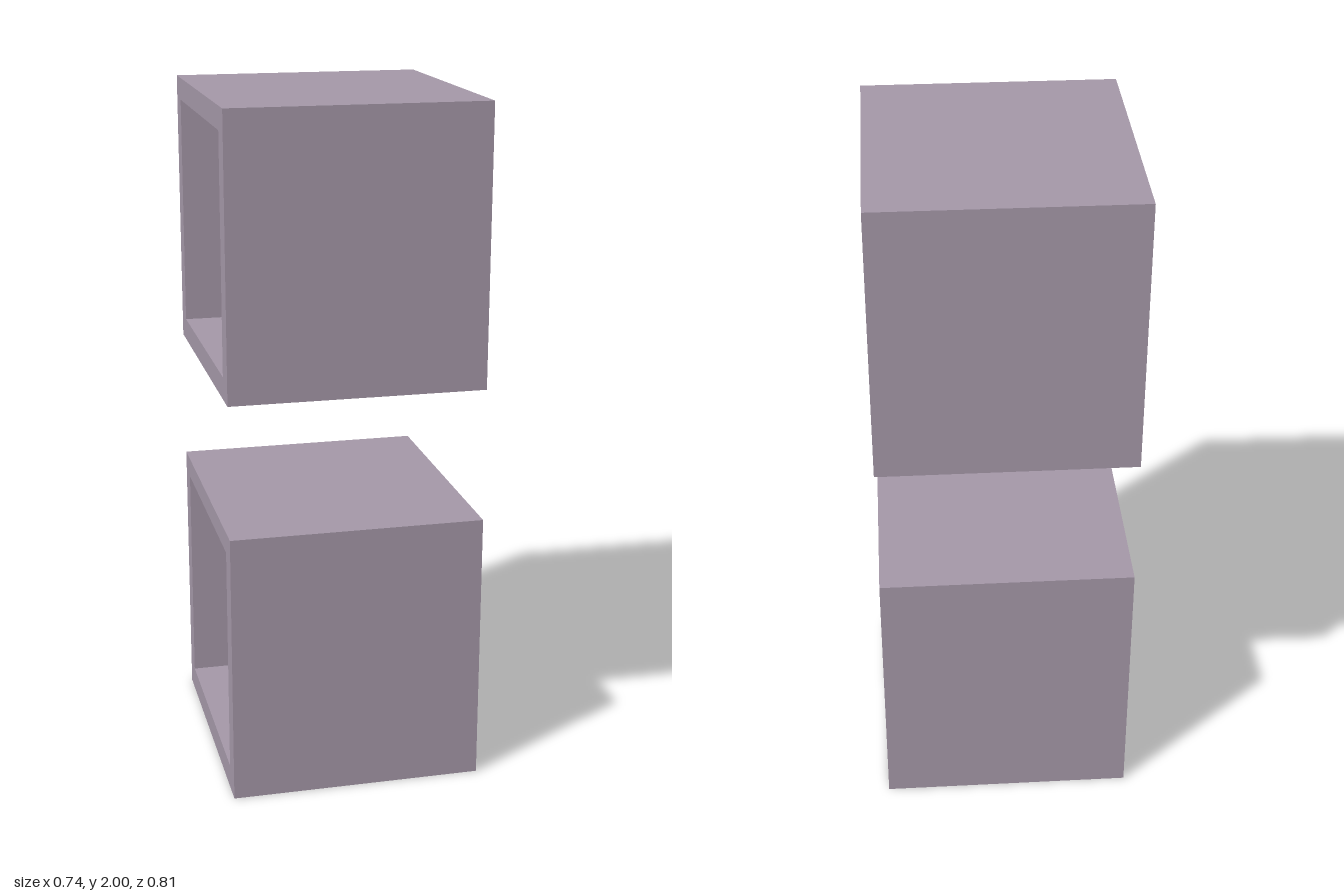
import * as THREE from 'three';

const purple = new THREE.MeshStandardMaterial({ color: 0xa598a8 });
const brown = new THREE.MeshStandardMaterial({ color: 0x82501f });
const grey = new THREE.MeshStandardMaterial({ color: 0xcccccc });

// Box given by its minimum and maximum corners
function block(name, material, min, max) {
  const size = max.map((v, i) => v - min[i]);
  const mesh = new THREE.Mesh(new THREE.BoxGeometry(...size), material);
  mesh.position.set(...max.map((v, i) => (v + min[i]) / 2));
  mesh.name = name;
  return mesh;
}

// Square room shell, open at both x ends; profile drawn in (-z, y)
function roomShell(y0, y1, floorY, ceilingY) {
  const rect = (path, a, b, c, d) =>
    path.moveTo(a, b).lineTo(c, b).lineTo(c, d).lineTo(a, d).closePath();
  const shape = rect(new THREE.Shape(), -0.405, y0, 0.405, y1);
  shape.holes.push(rect(new THREE.Path(), -0.337, floorY, 0.337, ceilingY));
  const geometry = new THREE.ExtrudeGeometry(shape, { depth: 0.738, bevelEnabled: false });
  geometry.translate(0, 0, -0.369).rotateY(Math.PI / 2);
  const mesh = new THREE.Mesh(geometry, purple);
  mesh.name = 'roomShell';
  return mesh;
}

// Open-backed bookcase: two sides and six boards
function bookcase(y, z0, z1) {
  const group = new THREE.Group();
  group.name = 'bookcase';
  const x0 = 0.23, x1 = 0.317, height = 0.255, t = 0.008;
  group.add(block('bookcaseSide', brown, [x0, y, z0], [x1, y + height, z0 + t]));
  group.add(block('bookcaseSide', brown, [x0, y, z1 - t], [x1, y + height, z1]));
  for (let i = 0; i < 6; i++) {
    const by = y + (i * (height - t)) / 5;
    group.add(block('bookcaseShelf', brown, [x0, by, z0 + t], [x1, by + t, z1 - t]));
  }
  return group;
}

export function createModel() {
  const model = new THREE.Group();

  // Lower room
  const lower = new THREE.Group();
  lower.name = 'lowerRoom';
  lower.add(roomShell(0, 0.806, 0.072, 0.745));
  lower.add(bookcase(0.074, 0.061, 0.293));
  lower.add(block('chest', grey, [0.235, 0.072, -0.268], [0.356, 0.187, -0.03]));

  // Upper room, furniture swapped front to back
  const upper = new THREE.Group();
  upper.name = 'upperRoom';
  upper.add(roomShell(1.196, 2, 1.261, 1.935));
  upper.add(bookcase(1.266, -0.292, -0.06));
  upper.add(block('chest', grey, [0.235, 1.261, 0.048], [0.356, 1.384, 0.287]));

  model.add(lower, upper);
  return model;
}
